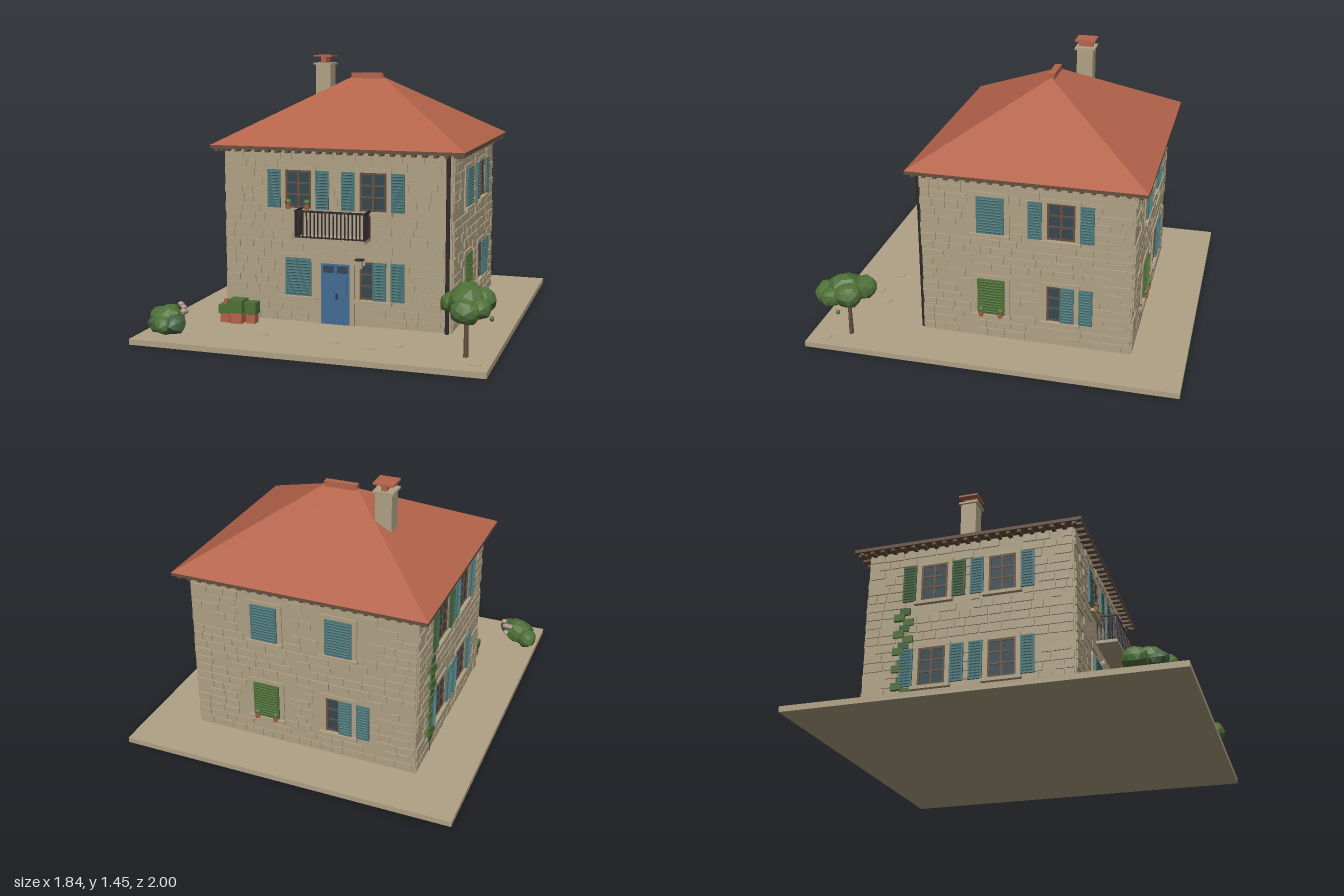
import * as THREE from 'three';
import { mergeGeometries } from 'three/addons/utils/BufferGeometryUtils.js';

const mat = (name, color) => {
  const m = new THREE.MeshStandardMaterial({ color });
  m.name = name;
  return m;
};
const M = {
  stone: mat('stone', 0xb0a285), roof: mat('terracotta', 0xb4634a), timber: mat('timber', 0x66503f),
  shutter: mat('shutterTeal', 0x4d787b), glass: mat('glass', 0x34474f), door: mat('doorBlue', 0x426b95),
  iron: mat('iron', 0x322b2e), leaf: mat('leaf', 0x4f7038), darkLeaf: mat('darkLeaf', 0x43603f),
  blossom: mat('blossom', 0xb59a8e),
};

let seed = 7;
const rnd = () => (seed = (seed * 16807) % 2147483647) / 2147483647;

function mesh(parent, name, geo, material, x = 0, y = 0, z = 0) {
  const m = new THREE.Mesh(geo, material);
  m.name = name;
  m.position.set(x, y, z);
  parent.add(m);
  return m;
}
// Box given by its extents on each axis
function box(parent, name, material, x0, x1, y0, y1, z0, z1) {
  return mesh(parent, name, new THREE.BoxGeometry(x1 - x0, y1 - y0, z1 - z0), material,
    (x0 + x1) / 2, (y0 + y1) / 2, (z0 + z1) / 2);
}
function group(parent, name) {
  const g = new THREE.Group();
  g.name = name;
  parent.add(g);
  return g;
}
// Faceted foliage clump
function clump(parent, name, material, x, y, z, rx, ry, rz) {
  const geo = new THREE.IcosahedronGeometry(1, 1), p = geo.attributes.position;
  for (let i = 0; i < p.count; i++) {
    const a = p.getX(i), b = p.getY(i), c = p.getZ(i);
    const s = 0.94 + 0.09 * Math.sin(a * 7 + x * 40) * Math.cos(b * 5 + c * 6 + z * 30);
    p.setXYZ(i, a * s * rx, b * s * ry, c * s * rz);
  }
  geo.computeVertexNormals();
  return mesh(parent, name, geo, material, x, y, z);
}

// Raised irregular masonry that leaves the openings clear
function masonry(wall, width, openings) {
  const geos = [], rows = 19, h = 0.925 / rows;
  for (let r = 0; r < rows; r++) {
    const y0 = 0.035 + r * h;
    let x = -width / 2 + 0.004;
    while (x < width / 2 - 0.03) {
      const w = Math.min(0.05 + rnd() * 0.075, width / 2 - 0.004 - x);
      const free = !openings.some(o => x < o[1] && x + w > o[0] && y0 < o[3] && y0 + h > o[2]);
      if (free && rnd() < 0.82) {
        const sh = h * (0.78 + rnd() * 0.14);
        geos.push(new THREE.BoxGeometry(w - 0.007, sh, 0.012).translate(x + w / 2, y0 + h / 2, rnd() * 0.002));
      }
      x += w;
    }
  }
  mesh(wall, 'masonry', mergeGeometries(geos), M.stone);
}

function shutter(parent, x, y, w, h, material) {
  const g = group(parent, 'shutter');
  box(g, 'shutterPanel', material, x - w / 2, x + w / 2, y, y + h, 0.008, 0.018);
  const slats = [];
  for (let i = 0; i < 12; i++) {
    slats.push(new THREE.BoxGeometry(w - 0.018, 0.006, 0.006).rotateX(0.5)
      .translate(x, y + 0.014 + i * (h - 0.028) / 11, 0.019));
  }
  mesh(g, 'slats', mergeGeometries(slats), material);
}
function pot(parent, x, y, z) {
  mesh(parent, 'flowerPot', new THREE.CylinderGeometry(0.016, 0.012, 0.03, 8), M.roof, x, y + 0.015, z);
  clump(parent, 'potPlant', M.leaf, x, y + 0.04, z, 0.019, 0.017, 0.017);
}

// kind: 'open', 'half' (left leaf shut) or 'closed'
function windowUnit(wall, x, y, kind, material = M.shutter) {
  const g = group(wall, 'window'), h = 0.205, w = 0.072;
  g.position.x = x;
  for (const s of [-1, 1]) box(g, 'jamb', M.stone, s * 0.0865 - 0.0135, s * 0.0865 + 0.0135, y - 0.012, y + h + 0.02, -0.01, 0.008);
  box(g, 'lintel', M.stone, -0.1, 0.1, y + h, y + h + 0.022, -0.01, 0.009);
  box(g, 'sill', M.stone, -0.105, 0.105, y - 0.022, y - 0.004, -0.01, 0.024);
  if (kind === 'closed') {
    shutter(g, 0, y, 0.146, h, material);
    return;
  }
  box(g, 'glass', M.glass, -0.073, 0.073, y, y + h, -0.006, 0.001);
  for (const s of [-0.068, 0, 0.068]) box(g, 'frameUpright', M.timber, s - 0.006, s + 0.006, y, y + h, 0, 0.006);
  for (const t of [0.006, 0.075, 0.137, 0.199]) box(g, 'frameBar', M.timber, -0.073, 0.073, y + t - 0.005, y + t + 0.005, 0, 0.005);
  shutter(g, kind === 'half' ? 0.037 : -0.136, y, w, h, material);
  shutter(g, 0.136, y, w, h, material);
}

function makeWall(house, name, x, z, turn, width, wx, kinds, extraOpenings = []) {
  const wall = group(house, name);
  wall.position.set(x, 0, z);
  wall.rotation.y = turn;
  const openings = [...extraOpenings];
  kinds.forEach(([kind, material], i) => {
    const cx = i % 2 ? wx : -wx, y = i < 2 ? 0.652 : 0.177;
    windowUnit(wall, cx, y, kind, material);
    openings.push([cx - 0.1, cx + 0.1, y - 0.02, y + 0.225]);
  });
  masonry(wall, width, openings);
  return wall;
}

export function createModel() {
  const root = new THREE.Group();
  root.name = 'stoneHouse';
  box(root, 'ground', M.stone, -0.922, 0.922, 0, 0.03, -1, 1);

  // House body and its four faces
  const house = group(root, 'house');
  const zc = -0.145;
  box(house, 'wallCore', M.stone, -0.632, 0.632, 0.03, 0.97, -0.708, 0.42);
  const front = makeWall(house, 'frontWall', 0, 0.42, 0, 1.264, 0.208,
    [['open'], ['open'], ['closed'], ['half']], [[-0.12, 0.12, 0, 0.47], [-0.2, 0.2, 0.49, 0.53]]);
  const right = makeWall(house, 'leftSideWall', 0.632, zc, Math.PI / 2, 1.128, 0.186,
    [['closed'], ['open'], ['closed', M.leaf], ['half']]);
  const back = makeWall(house, 'backWall', 0, -0.708, Math.PI, 1.264, 0.208,
    [['closed'], ['closed'], ['closed', M.leaf], ['half']]);
  const left = makeWall(house, 'rightSideWall', -0.632, zc, -Math.PI / 2, 1.128, 0.186,
    [['open', M.darkLeaf], ['open'], ['open'], ['open']]);
  for (const x of [-0.26, -0.155]) pot(front, x, 0.648, 0.022);
  for (const x of [-0.24, -0.135]) pot(right, x, 0.165, 0.022);
  for (const x of [-0.26, -0.155]) pot(back, x, 0.165, 0.022);

  // Climbing ivy
  for (let i = 0; i < 16; i++) {
    const y = 0.1 + i * 0.032;
    const leafX = -0.345 + Math.sin(i * 2.1) * 0.03;
    box(left, 'ivy', i % 3 ? M.leaf : M.darkLeaf, leafX - 0.028, leafX + 0.028, y, y + 0.038, 0, 0.013 + (i % 3) * 0.003);
  }
  box(left, 'ivyStem', M.timber, -0.35, -0.342, 0.03, 0.6, 0, 0.01);

  // Door with glazing, surround and arched hood
  const door = group(front, 'door');
  box(door, 'doorLeaf', M.door, -0.08, 0.08, 0.03, 0.36, -0.005, 0.01);
  for (const s of [-1, 1]) {
    box(door, 'doorGlass', M.glass, s * 0.039 - 0.028, s * 0.039 + 0.028, 0.312, 0.35, 0.006, 0.013);
    box(door, 'doorPanel', M.door, s * 0.039 - 0.026, s * 0.039 + 0.026, 0.06, 0.295, 0.006, 0.014);
    box(door, 'doorJamb', M.stone, s * 0.093 - 0.013, s * 0.093 + 0.013, 0.03, 0.37, -0.005, 0.014);
  }
  box(door, 'doorHandle', M.iron, 0.004, 0.012, 0.17, 0.2, 0.01, 0.02);
  const hood = new THREE.Shape();
  hood.moveTo(-0.165, 0.362).lineTo(0.165, 0.362).lineTo(0.165, 0.395).lineTo(0.115, 0.395).lineTo(0.115, 0.42)
    .lineTo(0.06, 0.425).quadraticCurveTo(0.05, 0.47, 0, 0.472).quadraticCurveTo(-0.05, 0.47, -0.06, 0.425)
    .lineTo(-0.115, 0.42).lineTo(-0.115, 0.395).lineTo(-0.165, 0.395);
  mesh(door, 'doorHood', new THREE.ExtrudeGeometry(hood, { depth: 0.013, bevelEnabled: false, curveSegments: 5 }), M.stone);

  // Wall lamp
  box(front, 'lampBracket', M.iron, 0.118, 0.162, 0.392, 0.4, 0, 0.045);
  box(front, 'lamp', M.stone, 0.124, 0.156, 0.352, 0.392, 0.014, 0.04);

  // Balcony
  const balcony = group(front, 'balcony');
  box(balcony, 'balconySlab', M.stone, -0.19, 0.195, 0.496, 0.513, 0, 0.118);
  box(balcony, 'frontRail', M.iron, -0.19, 0.195, 0.65, 0.66, 0.108, 0.118);
  box(balcony, 'lowerRail', M.iron, -0.19, 0.195, 0.515, 0.522, 0.11, 0.117);
  for (let i = 0; i <= 18; i++) {
    const x = -0.186 + i * 0.0209;
    box(balcony, 'baluster', M.iron, x - 0.003, x + 0.003, 0.513, 0.655, 0.11, 0.116);
  }
  for (const x of [-0.187, 0.192]) {
    box(balcony, 'sideRail', M.iron, x - 0.004, x + 0.004, 0.65, 0.66, 0, 0.118);
    for (let i = 0; i < 6; i++) box(balcony, 'sideBaluster', M.iron, x - 0.003, x + 0.003, 0.513, 0.655, 0.006 + i * 0.019, 0.012 + i * 0.019);
  }

  // Drainpipe
  mesh(front, 'drainpipe', new THREE.CylinderGeometry(0.011, 0.011, 0.94, 8), M.iron, 0.61, 0.5, 0.014);

  // Hipped roof, eaves and rafter ends
  const roof = group(house, 'roof');
  const [x0, x1, z0, z1, ey, ry, rz] = [-0.695, 0.702, -0.775, 0.475, 0.982, 1.335, -0.152];
  box(roof, 'eaves', M.timber, x0, x1, 0.964, ey, z0, z1);
  const A = [x0, ey, z1], B = [x1, ey, z1], C = [x1, ey, z0], D = [x0, ey, z0], E = [-0.085, ry, rz], F = [0.094, ry, rz];
  const slopes = new THREE.BufferGeometry();
  slopes.setAttribute('position', new THREE.Float32BufferAttribute(
    [A, B, F, A, F, E, B, C, F, C, D, E, C, E, F, D, A, E].flat(), 3));
  slopes.computeVertexNormals();
  mesh(roof, 'roofSlopes', slopes, M.roof);
  box(roof, 'ridgeCap', M.roof, -0.087, 0.096, 1.322, 1.356, rz - 0.018, rz + 0.018);
  for (let i = 0; i < 24; i++) {
    const x = -0.66 + i * 0.0575;
    for (const z of [-0.738, 0.444]) box(roof, 'rafterEnd', M.timber, x - 0.01, x + 0.01, 0.95, 0.965, z - 0.026, z + 0.026);
  }
  for (let i = 0; i < 21; i++) {
    const z = -0.735 + i * 0.0585;
    for (const x of [-0.66, 0.665]) box(roof, 'rafterEnd', M.timber, x - 0.027, x + 0.027, 0.95, 0.965, z - 0.01, z + 0.01);
  }

  // Chimney
  const chimney = group(house, 'chimney');
  box(chimney, 'stack', M.stone, -0.336, -0.245, 1.08, 1.4, -0.312, -0.222);
  box(chimney, 'stackSlab', M.stone, -0.347, -0.234, 1.398, 1.41, -0.323, -0.211);
  box(chimney, 'flue', M.roof, -0.306, -0.274, 1.41, 1.445, -0.306, -0.226);
  box(chimney, 'chimneyCap', M.roof, -0.347, -0.234, 1.444, 1.454, -0.323, -0.211);

  // Square planters with clipped shrubs
  for (const [x, w, z, d, py, ty] of [[-0.587, 0.032, 0.533, 0.037, 0.08, 0.127],
    [-0.518, 0.043, 0.54, 0.042, 0.09, 0.16], [-0.443, 0.032, 0.522, 0.032, 0.08, 0.146]]) {
    box(root, 'planter', M.roof, x - w * 0.8, x + w * 0.8, 0.03, py, z - d * 0.8, z + d * 0.8);
    box(root, 'clippedShrub', M.leaf, x - w, x + w, py, ty, z - d, z + d);
  }
  box(root, 'redFlower', M.roof, -0.597, -0.579, 0.127, 0.156, 0.53, 0.548);

  // Small tree
  const tree = group(root, 'tree');
  mesh(tree, 'trunk', new THREE.CylinderGeometry(0.009, 0.013, 0.23, 7), M.timber, 0.782, 0.145, 0.79);
  for (const [x, y, z, a, b, c] of [[0.785, 0.305, 0.8, 0.1, 0.095, 0.11], [0.72, 0.29, 0.77, 0.075, 0.06, 0.08],
    [0.855, 0.31, 0.76, 0.07, 0.07, 0.08], [0.77, 0.32, 0.7, 0.07, 0.065, 0.07], [0.8, 0.28, 0.9, 0.08, 0.065, 0.07],
    [0.86, 0.29, 0.85, 0.06, 0.055, 0.07]]) clump(tree, 'crown', M.leaf, x, y, z, a, b, c);
  clump(tree, 'looseLeaf', M.leaf, 0.908, 0.232, 0.8, 0.012, 0.014, 0.012);

  // Flowering bush
  const bush = group(root, 'bush');
  for (const [x, y, z, a, b, c, m] of [[-0.8, 0.1, 0.8, 0.09, 0.075, 0.09, M.leaf], [-0.87, 0.09, 0.75, 0.06, 0.06, 0.07, M.leaf],
    [-0.73, 0.085, 0.86, 0.06, 0.055, 0.07, M.darkLeaf], [-0.78, 0.08, 0.88, 0.06, 0.05, 0.06, M.leaf],
    [-0.83, 0.08, 0.85, 0.06, 0.05, 0.06, M.darkLeaf]]) clump(bush, 'foliage', m, x, y, z, a, b, c);
  for (const [x, y, z] of [[-0.735, 0.15, 0.75], [-0.72, 0.13, 0.78], [-0.74, 0.12, 0.72], [-0.705, 0.145, 0.81], [-0.76, 0.16, 0.73]])
    clump(bush, 'blossom', M.blossom, x, y, z, 0.018, 0.015, 0.018);

  // Flat stepping stones
  for (const [x, z] of [[0.1, 0.75], [0.3, 0.8], [0.42, 0.72], [-0.3, 0.72], [0.85, 0.9]])
    box(root, 'pavingStone', M.stone, x - 0.025, x + 0.025, 0.028, 0.034, z - 0.018, z + 0.018);
  return root;
}
